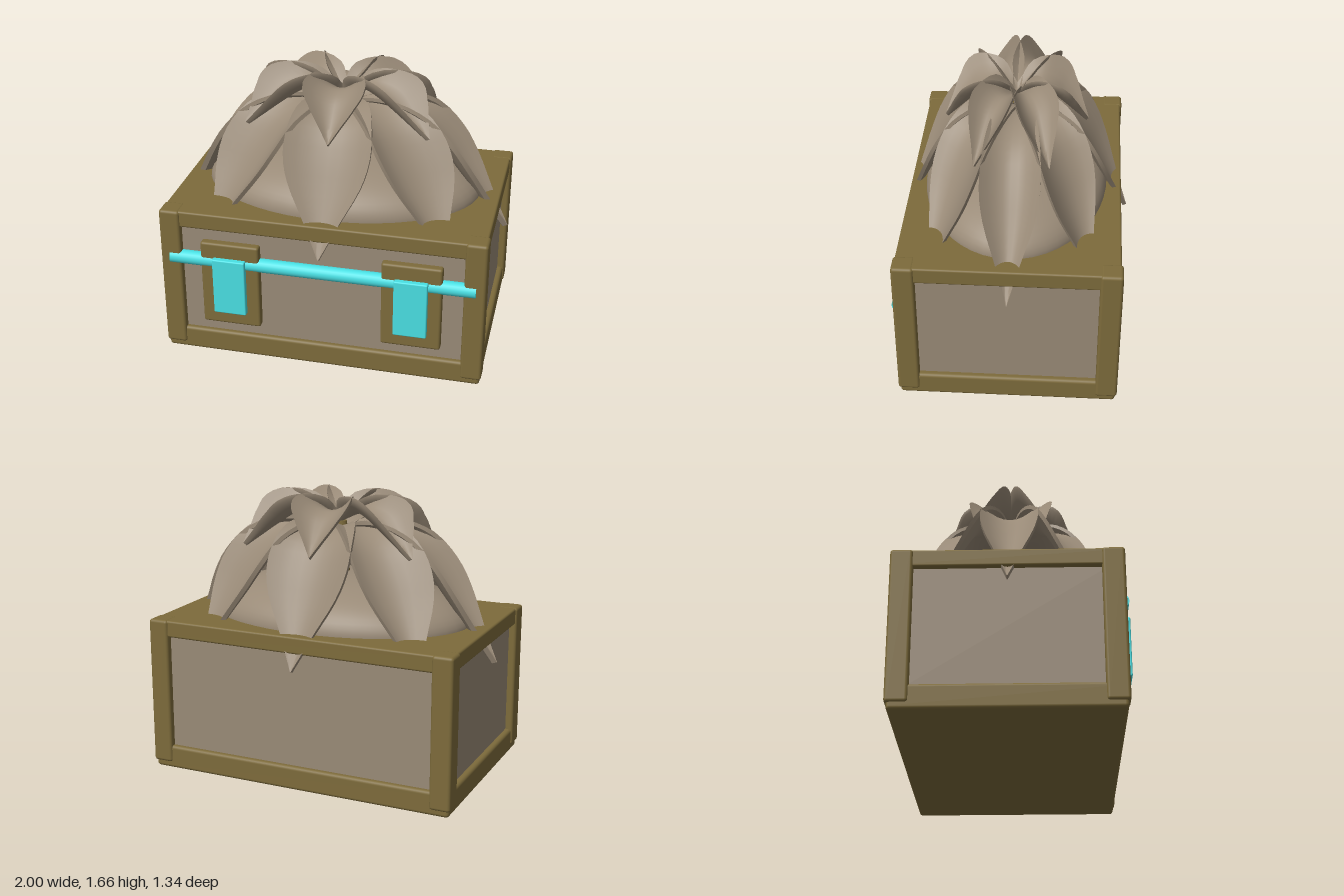
import * as THREE from 'three';
import { toCreasedNormals } from 'three/addons/utils/BufferGeometryUtils.js';
import { RoundedBoxGeometry } from 'three/addons/geometries/RoundedBoxGeometry.js';

const flat = (name, color) => {
  const m = new THREE.MeshStandardMaterial({ color });
  m.name = name;
  return m;
};

// Thick leaf growing along +z, its edges cupped outward in proportion to its width.
// Each station is [distance out, height, half width].
function leafGeometry(stations, cup, thickness) {
  const curve = new THREE.CatmullRomCurve3(stations.map((s) => new THREE.Vector3(...s)));
  const rows = 24, across = 8, ring = 2 * (across + 1);
  const pos = [], index = [];
  for (let j = 0; j <= rows; j++) {
    const p = curve.getPoint(j / rows), t = curve.getTangent(j / rows);
    const len = Math.hypot(t.x, t.y), nz = -t.y / len, ny = t.x / len;
    const w = Math.max(p.z, 0.002);
    for (let k = 0; k < ring; k++) {
      const top = k <= across;
      const s = ((top ? k : ring - 1 - k) / across) * 2 - 1;
      const lift = cup * w * s * s + (top ? thickness : -thickness) / 2;
      pos.push(w * s, p.y + ny * lift, p.x + nz * lift);
    }
  }
  for (let j = 0; j < rows; j++) {
    for (let k = 0; k < ring; k++) {
      const a = j * ring + k, b = j * ring + ((k + 1) % ring);
      index.push(a, a + ring, b, b, a + ring, b + ring);
    }
  }
  // end caps
  const last = rows * ring;
  for (let k = 1; k < ring - 1; k++) {
    index.push(0, k, k + 1, last, last + k + 1, last + k);
  }
  const g = new THREE.BufferGeometry();
  g.setAttribute('position', new THREE.Float32BufferAttribute(pos, 3));
  g.setIndex(index);
  return toCreasedNormals(g, 0.7);
}

export function createModel() {
  const model = new THREE.Group();
  model.name = 'planterBox';
  const olive = flat('olive frame', 0x7d6b3b);
  const taupe = flat('taupe leaf', 0x998a77);
  const teal = flat('teal trim', 0x49e0e4);

  const add = (name, geo, mat, x = 0, y = 0, z = 0, parent = model) => {
    const m = new THREE.Mesh(geo, mat);
    m.name = name;
    m.position.set(x, y, z);
    parent.add(m);
    return m;
  };
  const rounded = (w, h, d, r) => new RoundedBoxGeometry(w, h, d, 3, r);

  // box: recessed panels between a lid slab, a base slab and corner posts
  add('sidePanels', new THREE.BoxGeometry(1.82, 0.76, 1.19), taupe, 0, 0.48, 0);
  add('baseSlab', rounded(1.89, 0.142, 1.25, 0.02), olive, 0, 0.071, 0);
  add('lidSlab', rounded(1.89, 0.1, 1.25, 0.012), olive, 0, 0.876, 0);
  for (const sx of [-1, 1]) {
    for (const sz of [-1, 1]) {
      add('cornerPost', rounded(0.124, 0.89, 0.126, 0.018), olive, sx * 0.893, 0.483, sz * 0.573);
    }
  }

  // front rod with backing plates and hanging tabs
  const rod = add('frontRod', new THREE.CylinderGeometry(0.042, 0.042, 1.8, 24), teal, 0, 0.625, 0.608);
  rod.rotation.z = Math.PI / 2;
  for (const sx of [-1, 1]) {
    add('backingPlate', rounded(0.35, 0.535, 0.06, 0.015), olive, sx * 0.535, 0.483, 0.61);
    add('hangingTab', rounded(0.195, 0.355, 0.05, 0.008), teal, sx * 0.535, 0.482, 0.647);
  }

  // plant, stretched sideways to an oval
  const plant = new THREE.Group();
  plant.name = 'plant';
  plant.scale.x = 1.5;
  model.add(plant);

  const mound = add('mound', new THREE.SphereGeometry(1, 48, 16, 0, Math.PI * 2, 0, Math.PI / 2), taupe, 0, 0.92, 0, plant);
  mound.scale.set(0.55, 0.27, 0.54);
  add('stem', new THREE.CylinderGeometry(0.03, 0.045, 0.37, 12), olive, 0, 1.305, 0, plant);

  const whorl = (name, geo, count) => {
    for (let i = 0; i < count; i++) {
      add(name, geo, taupe, 0, 0, 0, plant).rotation.y = (i / count) * Math.PI * 2;
    }
  };

  // eight long drooping leaves; the tips come out below the lid
  whorl('outerLeaf', leafGeometry([
    [0.02, 1.43, 0.03], [0.1, 1.46, 0.08], [0.2, 1.45, 0.132], [0.3, 1.38, 0.16],
    [0.385, 1.25, 0.167], [0.46, 1.105, 0.14], [0.55, 0.93, 0.074], [0.601, 0.83, 0.038], [0.655, 0.73, 0.002],
  ], 0.43, 0.022), 8);

  // six shorter, deeply cupped leaves on top
  whorl('upperLeaf', leafGeometry([
    [0.0, 1.49, 0.02], [0.06, 1.53, 0.05], [0.13, 1.56, 0.095], [0.2, 1.535, 0.12],
    [0.27, 1.475, 0.09], [0.34, 1.405, 0.045], [0.41, 1.335, 0.002],
  ], 0.95, 0.02), 6);

  return model;
}
